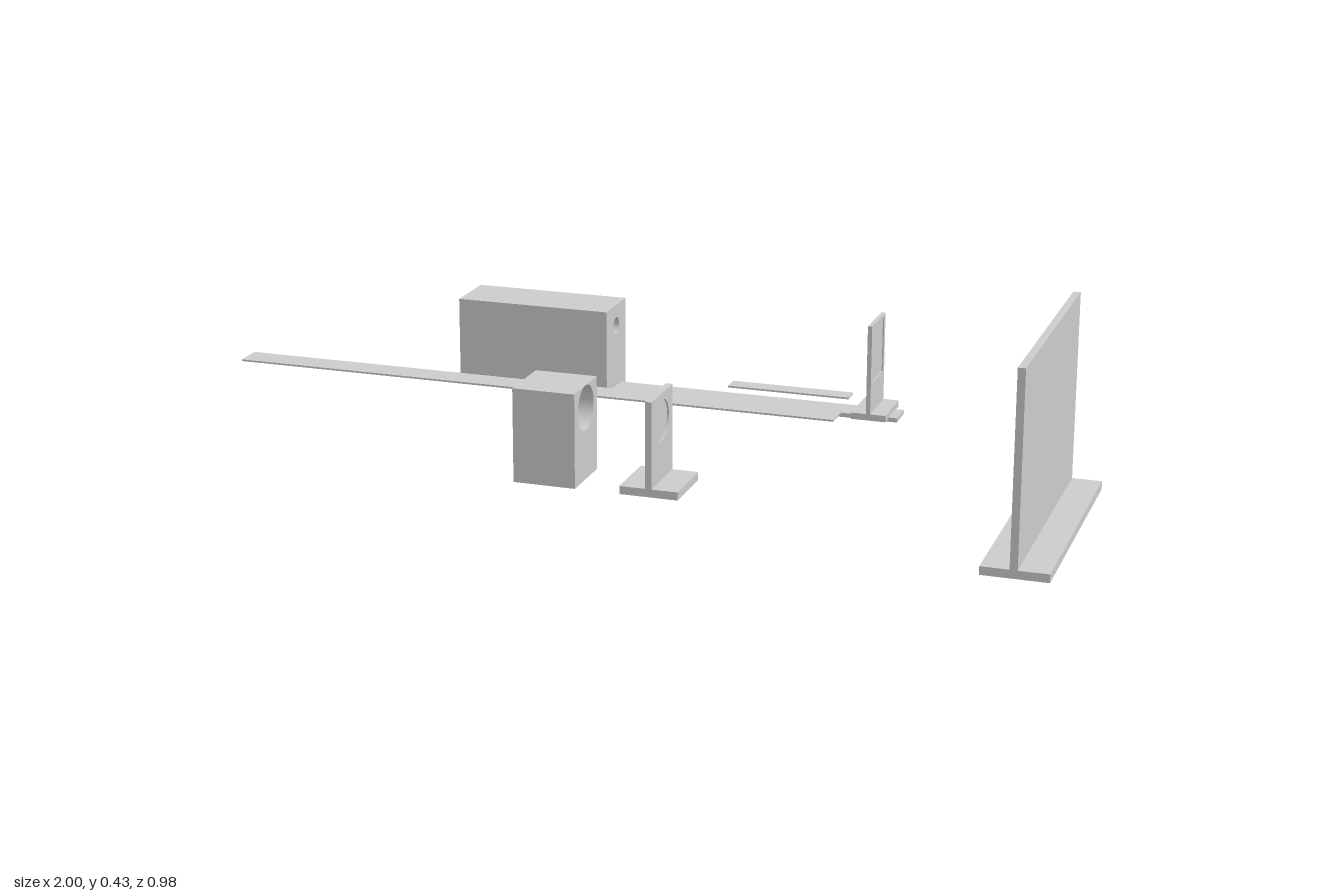
import * as THREE from 'three';

const material = new THREE.MeshStandardMaterial({ color: 0xcccccc });

export function createModel() {
  const model = new THREE.Group();
  model.name = 'opticsBench';

  const group = (name) => {
    const g = new THREE.Group();
    g.name = name;
    model.add(g);
    return g;
  };
  const add = (parent, name, geometry) => {
    const mesh = new THREE.Mesh(geometry, material);
    mesh.name = name;
    parent.add(mesh);
    return mesh;
  };

  // Box given by its limits on each axis
  const box = (parent, name, [x0, x1], [y0, y1], [z0, z1]) =>
    add(parent, name, new THREE.BoxGeometry(x1 - x0, y1 - y0, z1 - z0))
      .position.set((x0 + x1) / 2, (y0 + y1) / 2, (z0 + z1) / 2);

  const rectangle = (Type, [y0, y1], [z0, z1]) =>
    new Type().moveTo(-z1, y0).lineTo(-z0, y0).lineTo(-z0, y1).lineTo(-z1, y1).closePath();
  const circle = (y, z, r) => new THREE.Path().absarc(-z, y, r, 0, Math.PI * 2, true);

  // Slab facing +x with an opening through it
  const slab = (parent, name, [x0, x1], ys, zs, hole) => {
    const shape = rectangle(THREE.Shape, ys, zs);
    shape.holes.push(hole);
    const geometry = new THREE.ExtrudeGeometry(shape, {
      depth: x1 - x0, bevelEnabled: false, curveSegments: 32,
    });
    geometry.rotateY(Math.PI / 2);
    geometry.translate(x0, 0, 0);
    add(parent, name, geometry);
  };

  const axisY = 0.16;

  // Housings with a blind round opening in the +x end
  const housing = (name, [x0, x1], zs, radius, depth) => {
    const g = group(name);
    const xm = x1 - depth;
    box(g, name + 'Body', [x0, xm], [0, 0.21], zs);
    slab(g, name + 'Opening', [xm, x1], [0, 0.21], zs, circle(axisY, (zs[0] + zs[1]) / 2, radius));
  };
  housing('lampHousing', [-0.58, -0.21], [-0.49, -0.355], 0.02, 0.1);
  housing('lightBox', [-0.2, -0.06], [0.13, 0.27], 0.05, 0.12);

  // Rail with a sliding frame holder
  const slide = group('railAndSlide');
  box(slide, 'rail', [-0.21, 0.48], [0.003, 0.013], [-0.455, -0.388]);
  box(slide, 'slideBase', [0.38, 0.46], [0.01, 0.025], [-0.485, -0.36]);
  slab(slide, 'slideFrame', [0.414, 0.424], [0.025, 0.233], [-0.484, -0.36],
    rectangle(THREE.Path, [0.096, 0.226], [-0.472, -0.371]));
  box(slide, 'slidePane', [0.417, 0.421], [0.096, 0.226], [-0.472, -0.371]);

  // Upright lens on a foot
  const lens = group('lensHolder');
  box(lens, 'lensBase', [0.04, 0.17], [0, 0.018], [0.13, 0.27]);
  slab(lens, 'lensPlate', [0.097, 0.112], [0.018, 0.21], [0.13, 0.27], circle(axisY - 0.01, 0.2, 0.045));
  const disc = add(lens, 'lensGlass', new THREE.CylinderGeometry(0.045, 0.045, 0.006, 32));
  disc.rotation.z = Math.PI / 2;
  disc.position.set(0.105, axisY - 0.01, 0.2);

  // Thin beam strips
  const beams = group('beamStrips');
  box(beams, 'longStrip', [-1, 0.42], [0.103, 0.107], [-0.112, -0.047]);
  box(beams, 'shortStrip', [0.13, 0.41], [0.103, 0.107], [-0.255, -0.214]);

  // Projection screen
  const screen = group('screen');
  box(screen, 'screenBase', [0.86, 1], [0, 0.018], [-0.09, 0.49]);
  box(screen, 'screenPanel', [0.92, 0.936], [0.018, 0.428], [-0.09, 0.49]);

  return model;
}
